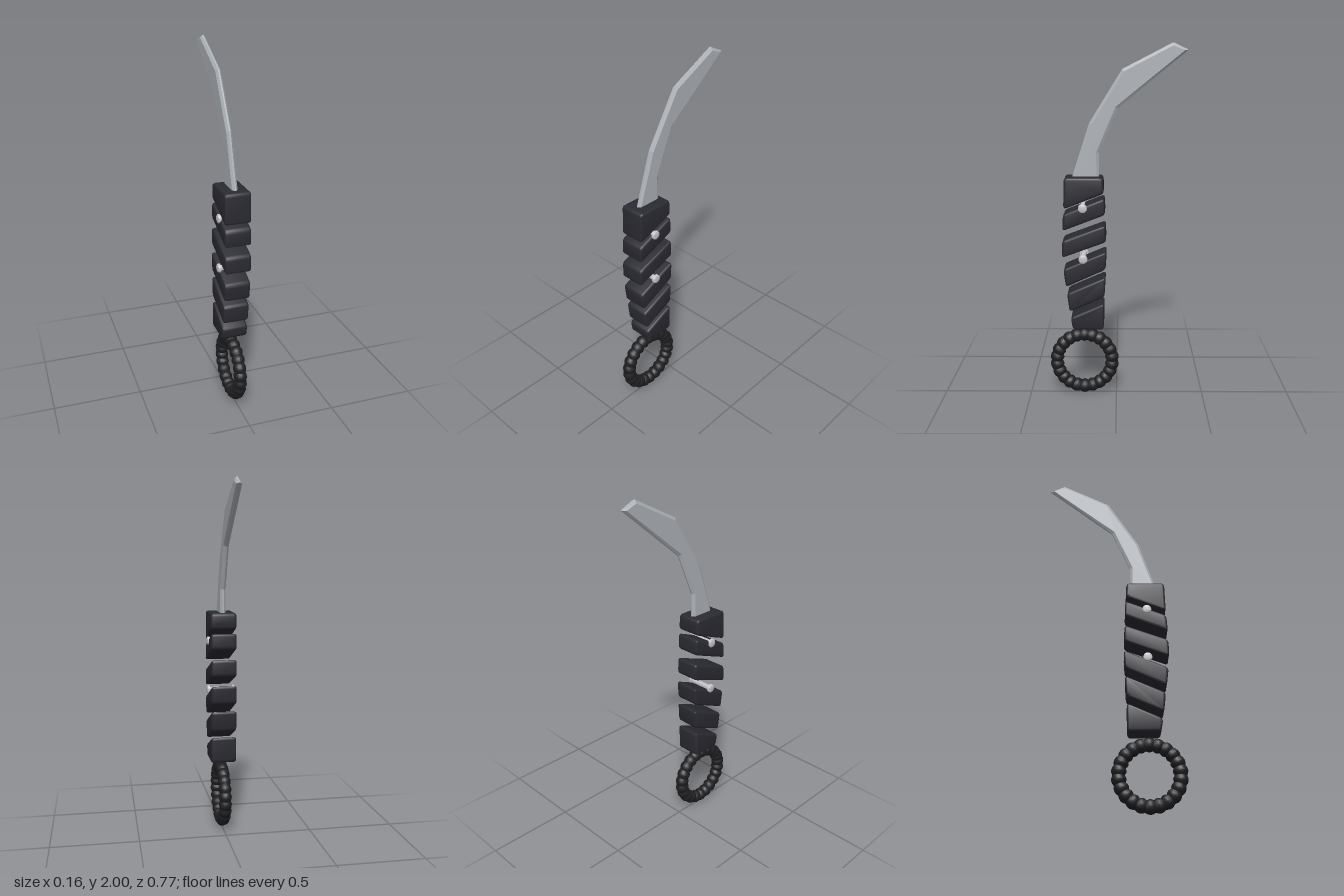
import * as THREE from 'three';
import { toCreasedNormals } from 'three/addons/utils/BufferGeometryUtils.js';

const flat = (name, color) => {
  const m = new THREE.MeshStandardMaterial({ color });
  m.name = name;
  return m;
};

// Closed side profile from [z, y] points, with corners rounded by r
function profile(points, r) {
  const shape = new THREE.Shape();
  const v = points.map(p => new THREE.Vector2(...p));
  v.forEach((p, i) => {
    const toward = q => p.clone().add(q.clone().sub(p).setLength(r));
    const a = toward(v[(i + v.length - 1) % v.length]);
    const b = toward(v[(i + 1) % v.length]);
    if (i === 0) shape.moveTo(a.x, a.y); else shape.lineTo(a.x, a.y);
    if (r > 0) shape.quadraticCurveTo(p.x, p.y, b.x, b.y);
  });
  shape.closePath();
  return shape;
}

// Extrude a side profile across x, keeping its outline and full width
function slab(shape, width, bevel, thickness, segments) {
  const depth = width - 2 * thickness;
  return new THREE.ExtrudeGeometry(shape, {
    depth, bevelEnabled: true, bevelSize: bevel, bevelOffset: -bevel,
    bevelThickness: thickness, bevelSegments: segments, curveSegments: 4,
  }).translate(0, 0, -depth / 2).rotateY(-Math.PI / 2);
}

export function createModel() {
  const steel = flat('blade steel', 0xadb2b8);
  const grip = flat('grip black', 0x2a2a32);
  const cord = flat('ring black', 0x1f1f23);
  const pin = flat('rivet silver', 0xc6c6ca);
  const model = new THREE.Group();
  const add = (name, geometry, material) => {
    const mesh = new THREE.Mesh(geometry, material);
    mesh.name = name;
    model.add(mesh);
    return mesh;
  };

  // Curved blade with chamfered edges
  const blade = profile([
    [0.095, 1.27], [0.248, 1.27], [0.148, 1.577], [-0.03, 1.862],
    [-0.3, 2.0], [-0.383, 1.962], [-0.008, 1.656], [0.095, 1.418],
  ], 0);
  add('blade', slab(blade, 0.031, 0.015, 0.011, 1), steel);

  // Slanted grip blocks: front top, front bottom, back bottom, back top as [z, y]
  const blocks = [
    [[0.286, 1.287], [0.291, 1.113], [0.068, 1.2], [0.073, 1.287]],
    [[0.293, 1.085], [0.299, 0.99], [0.062, 1.082], [0.066, 1.175]],
    [[0.3, 0.935], [0.302, 0.838], [0.057, 0.928], [0.06, 1.025]],
    [[0.296, 0.772], [0.283, 0.668], [0.06, 0.77], [0.055, 0.875]],
    [[0.278, 0.63], [0.264, 0.522], [0.067, 0.61], [0.06, 0.726]],
    [[0.259, 0.488], [0.247, 0.416], [0.072, 0.416], [0.069, 0.572]],
  ];
  blocks.forEach((points, i) => {
    const geometry = slab(profile(points, 0.02), 0.146, 0.012, 0.014, 3);
    add('gripBlock' + (i + 1), toCreasedNormals(geometry, 0.7), grip);
  });

  // Rivets running across the grip, with domed heads on both sides
  const half = [[0.0, 0.082], [0.017, 0.082], [0.023, 0.079], [0.025, 0.074], [0.025, 0.066], [0.015, 0.066]];
  const outline = [...half.map(([r, h]) => [r, -h]), ...half.slice().reverse()]
    .map(p => new THREE.Vector2(...p));
  [1.12, 0.832].forEach((y, i) => {
    const geometry = new THREE.LatheGeometry(outline, 20).rotateZ(Math.PI / 2);
    add('rivet' + (i + 1), toCreasedNormals(geometry, 0.7), pin).position.set(0, y, 0.185);
  });

  // Finger ring wrapped in cord: a torus swollen once per wrap
  const wraps = 22, steps = 4, radius = 0.16;
  const ring = new THREE.TorusGeometry(radius, 0.037, 12, wraps * steps);
  const pos = ring.attributes.position;
  for (let i = 0; i < pos.count; i++) {
    const x = pos.getX(i), y = pos.getY(i), z = pos.getZ(i);
    const angle = Math.atan2(y, x);
    const swell = 0.86 + 0.22 * Math.abs(Math.sin(angle * wraps / 2));
    const r = radius + (Math.hypot(x, y) - radius) * swell;
    pos.setXYZ(i, r * Math.cos(angle), r * Math.sin(angle), z * swell * 0.95);
  }
  ring.rotateY(-Math.PI / 2);
  add('fingerRing', toCreasedNormals(ring, 0.6), cord).position.set(0, 0.203, 0.185);

  return model;
}
